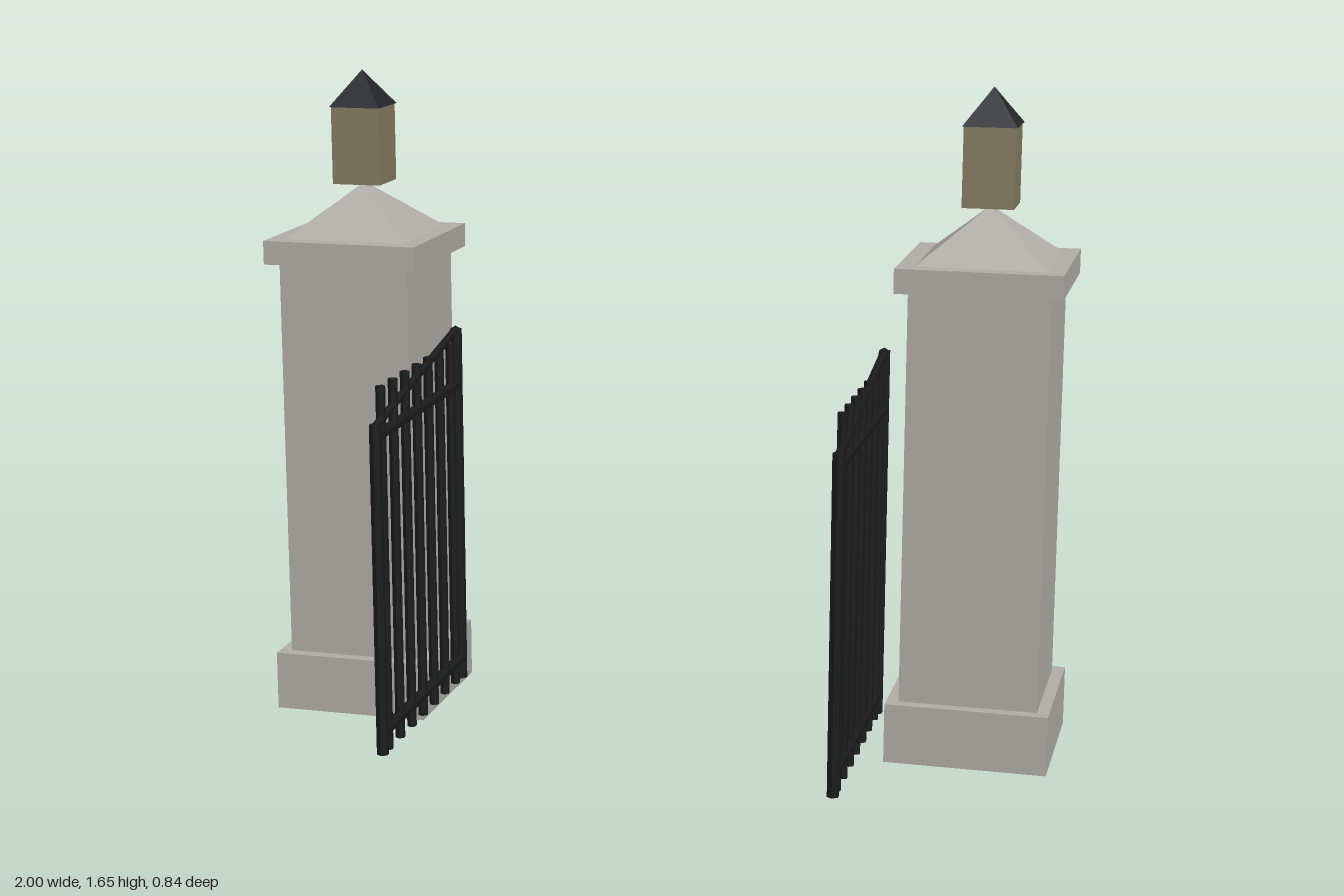
import * as THREE from 'three';

const flat = (color, name, side = THREE.FrontSide) => {
  const m = new THREE.MeshStandardMaterial({ color, flatShading: true, side });
  m.name = name;
  return m;
};

export function createModel() {
  const stone = flat(0xb0aca7, 'stone', THREE.DoubleSide);
  const glass = flat(0x857c62, 'lanternGlass');
  const roof = flat(0x24262a, 'lanternRoof');
  const iron = flat(0x1a1c1b, 'iron');

  const add = (parent, name, geometry, material) => {
    const mesh = new THREE.Mesh(geometry, material);
    mesh.name = name;
    parent.add(mesh);
    return mesh;
  };

  // Square block between two heights, optionally open underneath
  const block = (width, y0, y1, open = false) => {
    const g = new THREE.BoxGeometry(width, y1 - y0, width).translate(0, (y0 + y1) / 2, 0);
    if (open) {
      const index = Array.from(g.index.array);
      index.splice(18, 6);
      g.setIndex(index);
      g.clearGroups();
    }
    return g;
  };

  // Four-sided pyramid between two heights
  const pyramid = (width, y0, y1) =>
    new THREE.ConeGeometry(width / Math.SQRT2, y1 - y0, 4)
      .rotateY(Math.PI / 4).translate(0, (y0 + y1) / 2, 0);

  // Six-sided rod between two (y, z) points
  const rod = (radius, y0, z0, y1, z1) => {
    const dy = y1 - y0, dz = z1 - z0;
    return new THREE.CylinderGeometry(radius, radius, Math.hypot(dy, dz), 6)
      .rotateX(Math.atan2(dz, dy)).translate(0, (y0 + y1) / 2, (z0 + z1) / 2);
  };

  const makePillar = () => {
    const p = new THREE.Group();
    add(p, 'pillarBase', block(0.4, 0, 0.15, true), stone);
    add(p, 'pillarShaft', block(0.34, 0, 1.175, true), stone);
    add(p, 'pillarCap', block(0.4, 1.175, 1.235), stone);
    add(p, 'capPyramid', pyramid(0.316, 1.235, 1.365), stone);
    add(p, 'lantern', block(0.125, 1.365, 1.56), glass);
    add(p, 'lanternRoof', pyramid(0.133, 1.56, 1.65), roof);
    return p;
  };

  const makeGate = () => {
    const g = new THREE.Group();
    const front = 0.405, back = -0.195;
    // Frame
    add(g, 'frontPost', rod(0.015, 0.065, front, 0.885, front), iron);
    add(g, 'hingePost', rod(0.015, 0.065, back, 1.0, back), iron);
    add(g, 'lowerRail', rod(0.015, 0.12, front, 0.12, back), iron);
    add(g, 'upperRail', rod(0.015, 0.855, front, 0.855, back), iron);
    add(g, 'slopingRail', rod(0.01, 0.88, front, 0.998, back), iron);
    // Upright bars
    for (let i = 0; i < 7; i++) {
      const z = 0.365 - i * 0.085;
      add(g, 'bar', rod(0.012, 0.065, z, 0.97, z), iron);
    }
    return g;
  };

  const model = new THREE.Group();
  model.name = 'gateway';
  for (const [side, s] of [['left', 1], ['right', -1]]) {
    const pillar = makePillar();
    pillar.name = side + 'Pillar';
    pillar.position.set(s * 0.8, 0, -0.22);
    const gate = makeGate();
    gate.name = side + 'Gate';
    gate.position.x = s * 0.553;
    model.add(pillar, gate);
  }
  return model;
}
